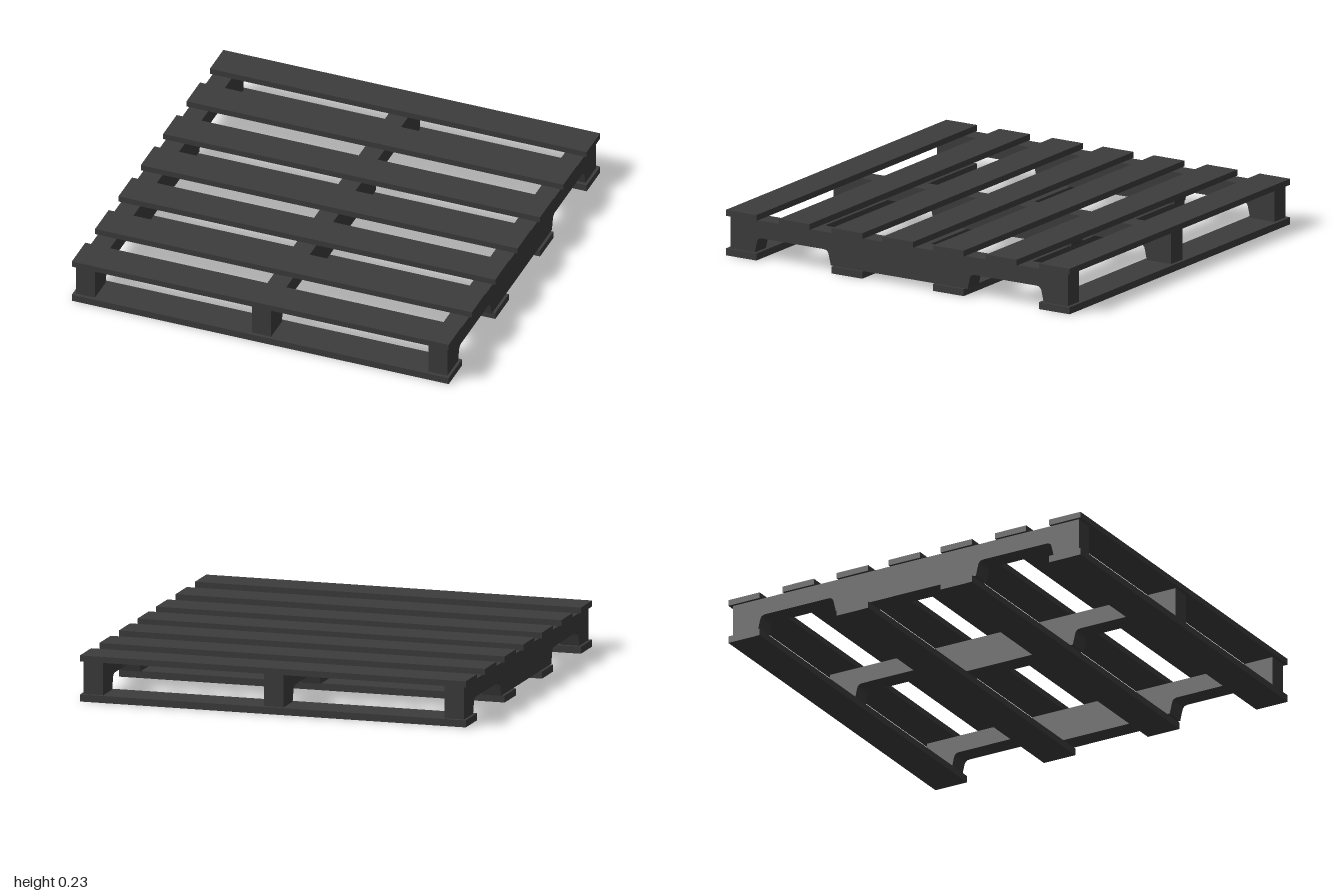
import * as THREE from 'three';

const material = new THREE.MeshStandardMaterial({ color: 0x3c3c3c, flatShading: true });

const BOARD_LENGTH = 1.98;
const BOARD_WIDTH = 0.178;
const BASE = 0.035; // top of the bottom boards
const DECK = 0.2; // underside of the deck boards
const TOP = 0.23;

function board(name, z, y0, y1) {
  const mesh = new THREE.Mesh(new THREE.BoxGeometry(BOARD_LENGTH, y1 - y0, BOARD_WIDTH), material);
  mesh.name = name;
  mesh.position.set(0, (y0 + y1) / 2, z);
  return mesh;
}

// Side profile of a stringer: a beam with two rounded fork notches
function stringerGeometry(width) {
  const s = new THREE.Shape();
  const notchTop = 0.112;
  s.moveTo(-0.982, DECK);
  s.lineTo(-0.982, BASE);
  for (const [a, b] of [[-0.84, -0.398], [0.398, 0.84]]) {
    s.lineTo(a, BASE);
    s.lineTo(a + 0.012, notchTop - 0.025);
    s.quadraticCurveTo(a + 0.016, notchTop, a + 0.042, notchTop);
    s.lineTo(b - 0.042, notchTop);
    s.quadraticCurveTo(b - 0.016, notchTop, b - 0.012, notchTop - 0.025);
    s.lineTo(b, BASE);
  }
  s.lineTo(0.982, BASE);
  s.lineTo(0.982, DECK);
  s.closePath();
  const g = new THREE.ExtrudeGeometry(s, { depth: width, bevelEnabled: false, curveSegments: 4 });
  g.translate(0, 0, -width / 2);
  g.rotateY(-Math.PI / 2); // profile runs along z
  return g;
}

export function createModel() {
  const pallet = new THREE.Group();
  pallet.name = 'pallet';

  // Deck boards
  for (const z of [-0.911, -0.603, -0.295, 0, 0.295, 0.603, 0.911]) {
    pallet.add(board('deckBoard', z, DECK, TOP));
  }

  // Bottom boards
  for (const z of [-0.911, -0.295, 0.295, 0.911]) {
    pallet.add(board('bottomBoard', z, 0, BASE));
  }

  // Notched stringers
  const geometry = stringerGeometry(0.1);
  for (const x of [-0.926, 0, 0.926]) {
    const stringer = new THREE.Mesh(geometry, material);
    stringer.name = 'stringer';
    stringer.position.x = x;
    pallet.add(stringer);
  }

  return pallet;
}
